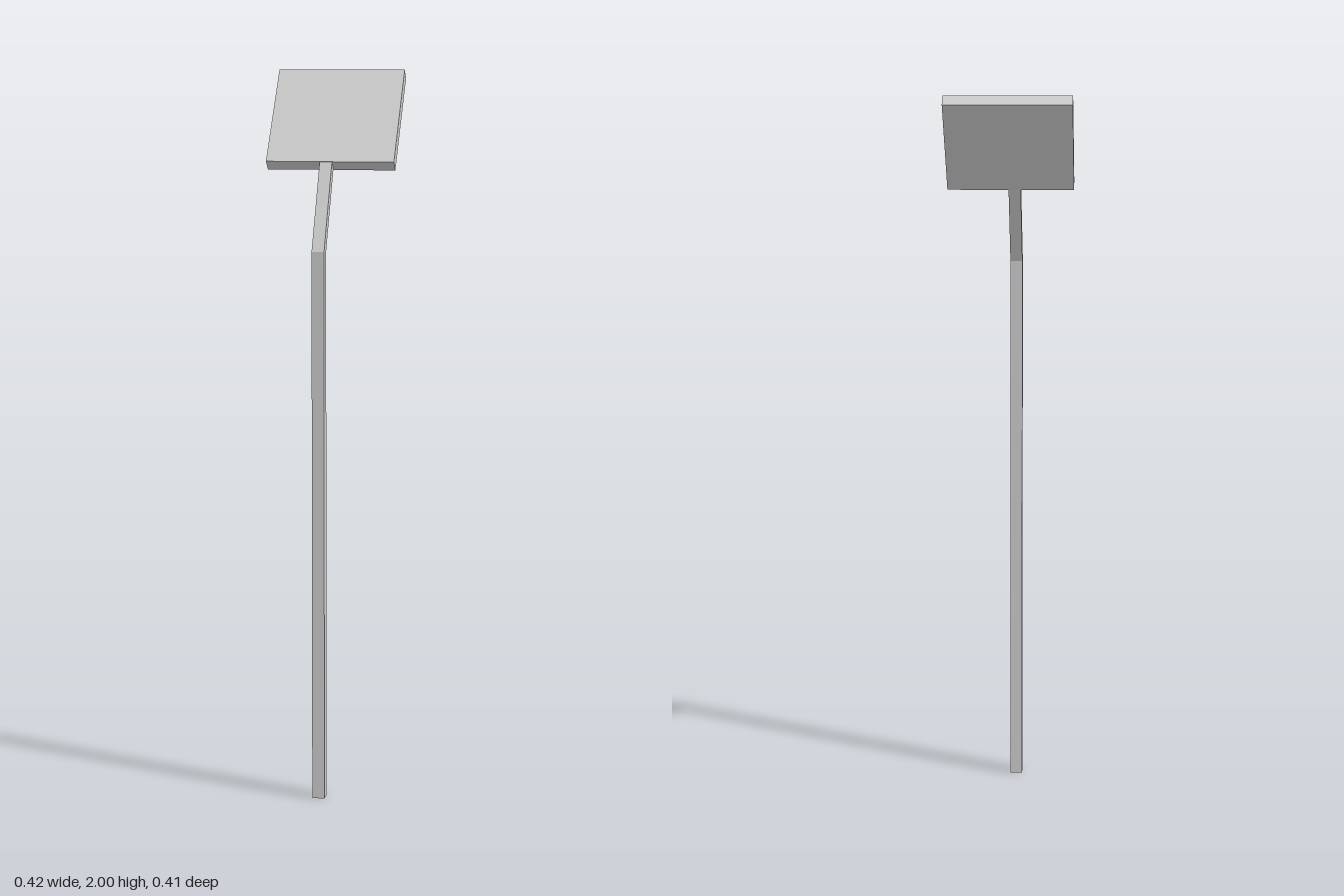
import * as THREE from 'three';

export function createModel() {
  const model = new THREE.Group();
  const grey = new THREE.MeshStandardMaterial({ color: 0xcccccc });
  grey.name = 'light grey';

  // Everything is built facing +z, then turned about the vertical
  const sign = new THREE.Group();
  sign.name = 'panelOnPost';
  sign.rotation.y = 0.622;
  model.add(sign);

  // Square post with a bent arm: side profile (depth, height) extruded across its width
  const width = 0.034;
  const profile = new THREE.Shape([
    [0.199, 0], [0.233, 0], [0.233, 1.52], [0.106, 1.755], [0.081, 1.735], [0.199, 1.52],
  ].map(([z, y]) => new THREE.Vector2(z, y)));
  const postGeometry = new THREE.ExtrudeGeometry(profile, { depth: width, bevelEnabled: false });
  postGeometry.translate(0, 0, -width / 2).rotateY(-Math.PI / 2);
  const post = new THREE.Mesh(postGeometry, grey);
  post.name = 'bentPost';
  post.position.x = -0.006;
  sign.add(post);

  // Thin panel leaning back, standing on the end of the arm
  const panel = new THREE.Mesh(new THREE.BoxGeometry(0.353, 0.318, 0.037), grey);
  panel.name = 'tiltedPanel';
  panel.position.set(0.005, 1.866, -0.007);
  panel.rotation.x = -0.69;
  sign.add(panel);

  return model;
}
